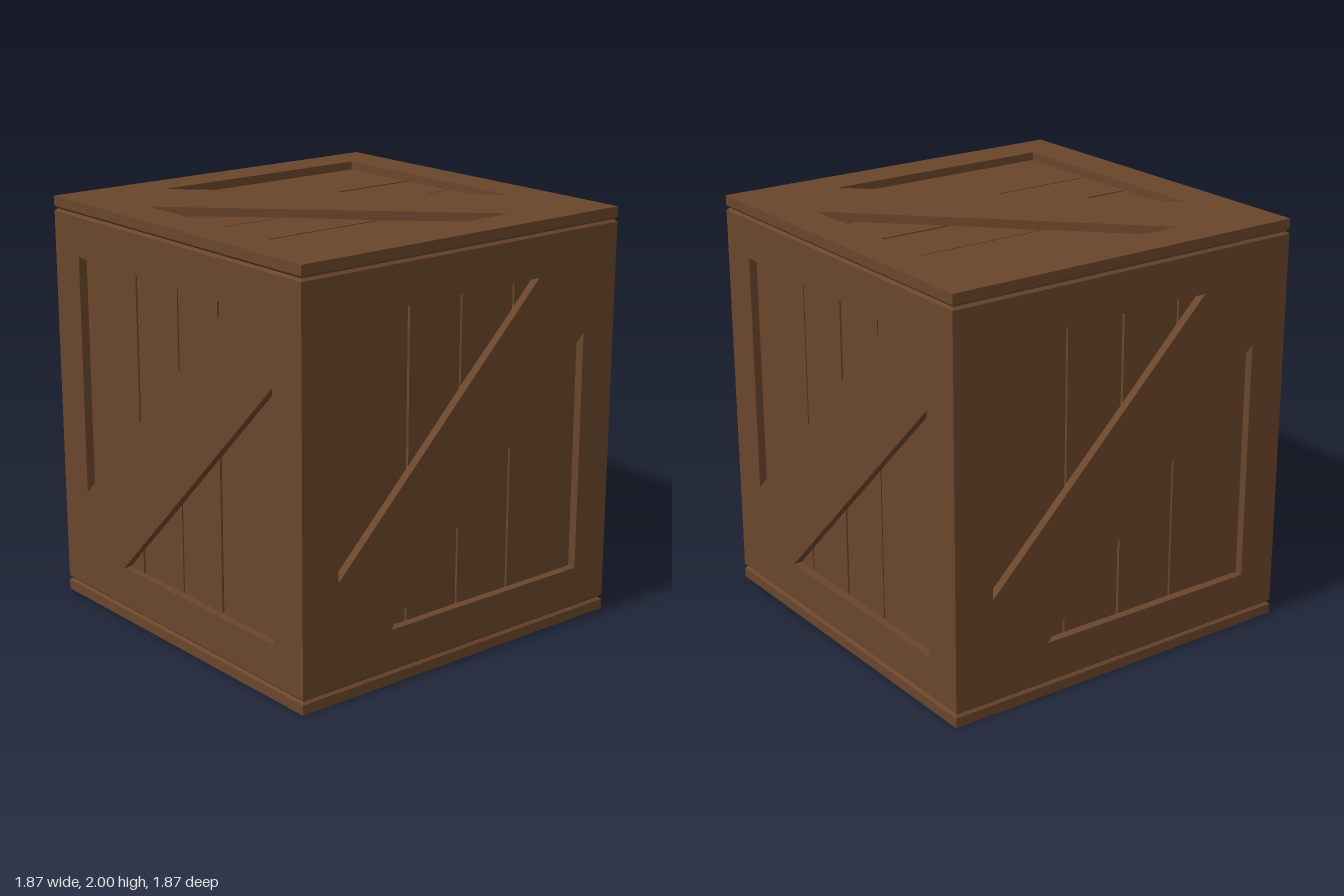
import * as THREE from 'three';

const W = 0.935;       // half width of the crate
const OPEN = 0.737;    // half size of the framed opening
const BRACE = 0.435;   // where the diagonal brace meets the opening edge
const GROOVE = 0.012;  // chamfer beside the lid and base seams

const wood = new THREE.MeshStandardMaterial({ color: 0x6a452b, flatShading: true });

function part(geometry, name) {
  const mesh = new THREE.Mesh(geometry, wood);
  mesh.name = name;
  return mesh;
}

// Square frame with two triangular openings that leave a diagonal brace
function bracedFrame(halfHeight, depth, mitre) {
  const shape = new THREE.Shape([[-W, -halfHeight], [W, -halfHeight], [W, halfHeight], [-W, halfHeight]]
    .map(([x, y]) => new THREE.Vector2(x, y)));
  for (const s of [1, -1]) {
    shape.holes.push(new THREE.Path([[-OPEN, OPEN], [BRACE, OPEN], [-OPEN, -BRACE]]
      .map(([x, y]) => new THREE.Vector2(x * s, y * s))));
  }
  const g = new THREE.ExtrudeGeometry(shape, { depth, bevelEnabled: false });
  g.translate(0, 0, -depth);
  if (mitre) { // draw the inner outline in so that neighbouring walls meet at 45 degrees
    const p = g.attributes.position;
    for (let i = 0; i < p.count; i++) {
      if (Math.abs(p.getX(i)) > W - 0.001) p.setX(i, Math.sign(p.getX(i)) * (W + p.getZ(i)));
    }
    g.computeVertexNormals();
  }
  return part(g, 'bracedFrame');
}

// One crate face, looking along +z: frame, brace and four slightly uneven planks
function panel(name, halfHeight, depth, mitre, seed) {
  const group = new THREE.Group();
  group.name = name;
  group.add(bracedFrame(halfHeight, depth, mitre));
  const edges = [-0.8, -0.315, 0, 0.31, 0.8];
  for (let i = 0; i < 4; i++) {
    const gap = (i + seed) % 2 ? 0.008 : 0.003;
    const plank = part(new THREE.BoxGeometry(edges[i + 1] - edges[i] - gap * 2, 1.6, 0.03), 'plank');
    plank.position.set((edges[i] + edges[i + 1]) / 2, 0, -0.056);
    plank.rotation.y = 0.012 * Math.sin(i * 2.3 + seed * 1.7);
    group.add(plank);
  }
  return group;
}

export function createModel() {
  const crate = new THREE.Group();
  crate.name = 'crate';

  // Four walls
  ['frontWall', 'leftWall', 'backWall', 'rightWall'].forEach((name, i) => {
    const a = i * Math.PI / 2;
    const wall = panel(name, 0.94 - GROOVE, 0.06, true, i);
    wall.position.set(Math.sin(a) * W, 1, Math.cos(a) * W);
    wall.rotation.y = a;
    crate.add(wall);
  });

  // Lid and base, planks running sideways
  for (const s of [1, -1]) {
    const slab = panel(s > 0 ? 'lid' : 'base', W, 0.06 - GROOVE, false, 4 + s);
    slab.position.y = 1 + s;
    slab.rotation.set(-s * Math.PI / 2, 0, Math.PI / 2);
    crate.add(slab);

    // Chamfered seam between slab and walls
    const y = 1 + s * 0.94;
    const seam = new THREE.LatheGeometry(
      [[W, y - GROOVE], [W - GROOVE, y], [W, y + GROOVE]]
        .map(([r, h]) => new THREE.Vector2(r * Math.SQRT2, h)), 4, Math.PI / 4);
    crate.add(part(seam, 'seam'));
  }

  // Solid backing seen through the gaps between planks
  const core = part(new THREE.BoxGeometry(1.73, 1.86, 1.73), 'core');
  core.position.y = 1;
  crate.add(core);
  return crate;
}
